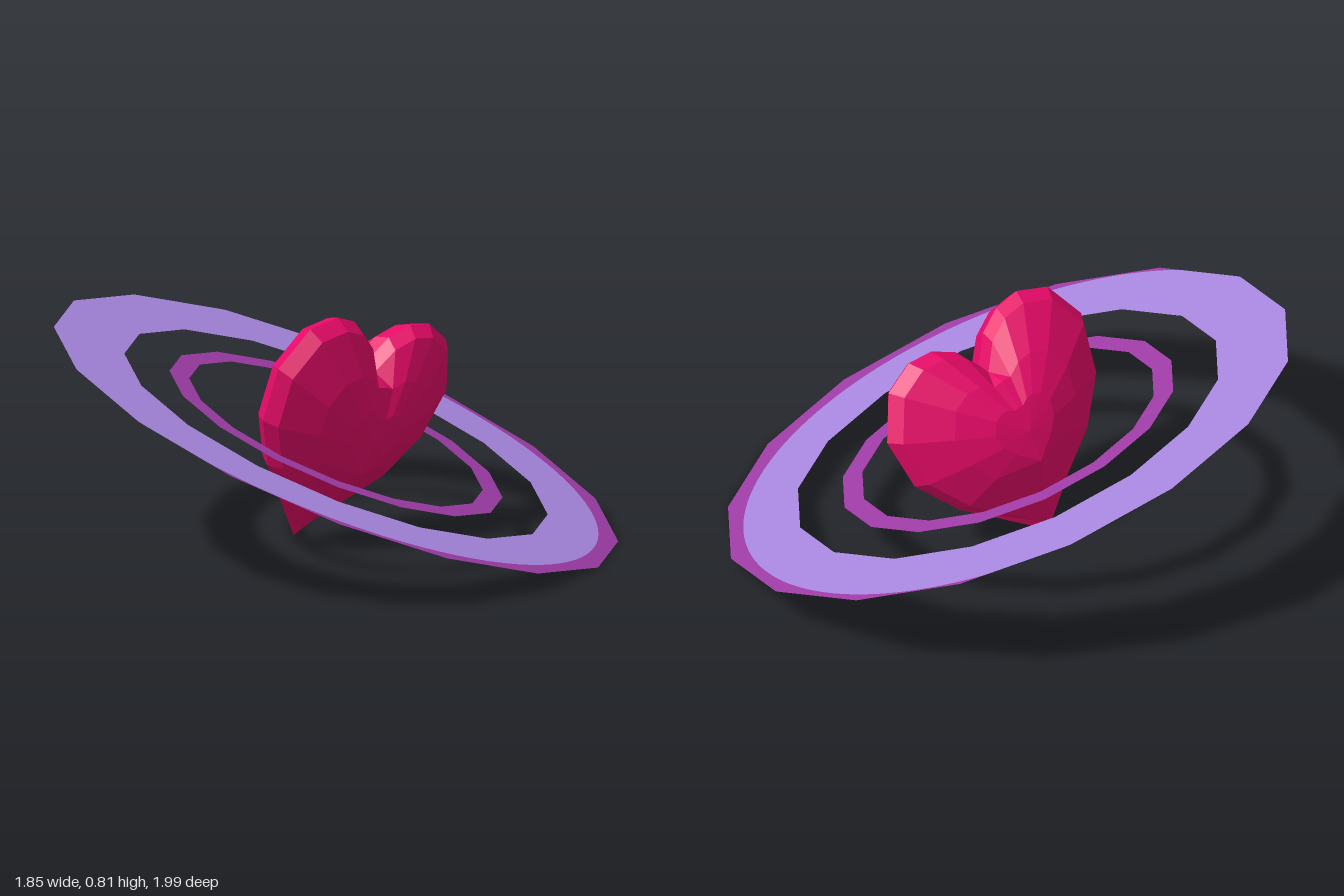
import * as THREE from 'three';

const SIDES = 16;
const PHASE = -0.084; // turn of the ring corners
const CENTRE = [0, 0.373, 0];

const heartRed = new THREE.MeshStandardMaterial({ color: 0xf00a6c });
const lilac = new THREE.MeshStandardMaterial({ color: 0xaa88e2, side: THREE.DoubleSide });
const violet = new THREE.MeshStandardMaterial({ color: 0x9f3ca8, side: THREE.DoubleSide });
for (const m of [heartRed, lilac, violet]) m.flatShading = true;

function meshFrom(name, positions, material) {
  const g = new THREE.BufferGeometry();
  g.setAttribute('position', new THREE.Float32BufferAttribute(positions, 3));
  g.computeVertexNormals();
  const mesh = new THREE.Mesh(g, material);
  mesh.name = name;
  return mesh;
}

// distance from the centre to the edge of a sixteen-sided polygon
const polygon = (radius) => (t) => {
  const step = (2 * Math.PI) / SIDES;
  const a = (((t - PHASE) % step) + step) % step;
  return (radius * Math.cos(step / 2)) / Math.cos(a - step / 2);
};

// distance from the centre to the edge of an offset circle
const circle = (cx, cz, radius) => (t) => {
  const d = cx * Math.cos(t) + cz * Math.sin(t);
  return d + Math.sqrt(radius * radius - cx * cx - cz * cz + d * d);
};

// flat band lying in the XZ plane between two edges, facing up
function band(name, inner, outer, steps, material) {
  const pos = [];
  const at = (r, t) => [r * Math.cos(t), 0, r * Math.sin(t)];
  for (let i = 0; i < steps; i++) {
    const t0 = PHASE + (i / steps) * 2 * Math.PI + 1e-7;
    const t1 = PHASE + ((i + 1) / steps) * 2 * Math.PI - 1e-7;
    const w0 = outer(t0) - inner(t0), w1 = outer(t1) - inner(t1);
    if (w0 < 1e-5 && w1 < 1e-5) continue;
    const a = at(inner(t0), t0), b = at(outer(t0), t0);
    const c = at(outer(t1), t1), d = at(inner(t1), t1);
    if (w1 >= 1e-5) pos.push(...a, ...d, ...c);
    if (w0 >= 1e-5) pos.push(...a, ...c, ...b);
  }
  return meshFrom(name, pos, material);
}

// faceted heart: its outline shrinks in loops toward a thick middle on both faces
function heart() {
  const half = [
    [0, 0.27], [0.06, 0.36], [0.14, 0.41], [0.23, 0.42], [0.34, 0.37],
    [0.415, 0.22], [0.385, 0.03], [0.27, -0.13], [0, -0.375],
  ];
  const outline = [...half, ...half.slice(1, -1).reverse().map(([x, y]) => [-x, y])];
  const loops = [[1, 0], [0.93, 0.05], [0.58, 0.12], [0.28, 0.16]];
  const midY = 0.05;
  const n = outline.length;
  const pos = [];

  for (const side of [1, -1]) {
    const point = (k, i) => {
      const [s, depth] = loops[k];
      const x = outline[i % n][0];
      // the notch only cuts the outer loops; the faces stay full
      const y = k > 1 && i % n === 0 ? 0.365 : outline[i % n][1];
      const v = midY + (y - midY) * s;
      const taper = Math.min(1, (v + 0.42) / 0.3); // thin toward the tip
      return [x * s, v, side * depth * taper];
    };
    const tri = (a, b, c) => (side > 0 ? pos.push(...a, ...c, ...b) : pos.push(...a, ...b, ...c));
    for (let i = 0; i < n; i++) {
      for (let k = 0; k < loops.length - 1; k++) {
        const a = point(k, i), b = point(k, i + 1), c = point(k + 1, i + 1), d = point(k + 1, i);
        if ((i + k) % 2) { tri(a, b, c); tri(a, c, d); }
        else { tri(a, b, d); tri(b, c, d); }
      }
      tri(point(loops.length - 1, i), point(loops.length - 1, i + 1), [0, midY, side * 0.168]);
    }
  }
  return meshFrom('heart', pos, heartRed);
}

export function createModel() {
  const model = new THREE.Group();
  model.name = 'ringedHeart';
  const up = new THREE.Vector3(0.405, 1, 0.04).normalize(); // shared tilted axis

  // rings
  const rings = new THREE.Group();
  rings.name = 'rings';
  const rim = polygon(1);
  const shade = circle(-0.045, -0.005, 0.974);
  const boundary = (t) => Math.min(rim(t), shade(t));
  rings.add(
    band('outerRing', polygon(0.75), boundary, SIDES * 12, lilac),
    band('outerRingCrescent', boundary, rim, SIDES * 12, violet),
    band('innerRing', polygon(0.52), polygon(0.59), SIDES, violet),
  );
  rings.quaternion.setFromUnitVectors(new THREE.Vector3(0, 1, 0), up);
  rings.position.set(...CENTRE);
  model.add(rings);

  // heart, standing on the same axis and turned about it
  const across = new THREE.Vector3(0.61, -0.217, -0.762);
  across.addScaledVector(up, -across.dot(up)).normalize();
  const facing = new THREE.Vector3().crossVectors(across, up);
  const core = heart();
  core.quaternion.setFromRotationMatrix(new THREE.Matrix4().makeBasis(across, up, facing));
  core.position.set(...CENTRE);
  model.add(core);

  return model;
}
